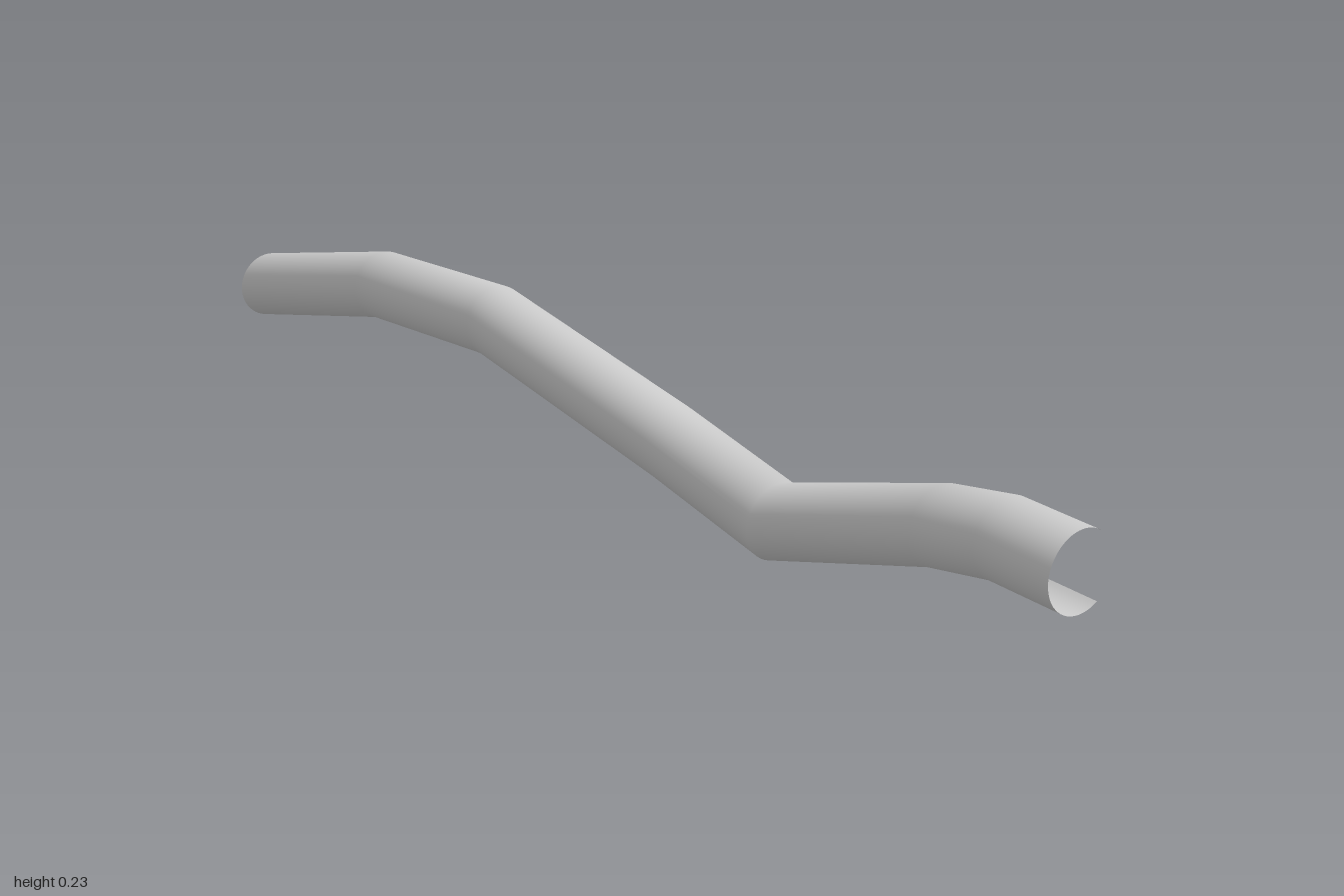
import * as THREE from 'three';

// centre line stations: [x, y, z]
const PATH = [
  [0.0145, 0.174, 1], [0.0145, 0.176, 0.87], [0.0075, 0.159, 0.76], [0.0075, 0.0595, 0.44],
  [0.0075, 0.106, 0.2], [0.0075, 0.178, -0.26], [0.0075, 0.156, -0.6], [0.0075, 0.0605, -1],
];
const RADIUS = 0.0575;
const LIP_ANGLE = 0.97; // half of the gap that opens towards +x
const SEGMENTS = 40;

// sweep an open arc along the stations, each section kept upright
function channelGeometry() {
  const positions = [], indices = [], row = SEGMENTS + 1;
  PATH.forEach(([x, y, z], i) => {
    for (let j = 0; j <= SEGMENTS; j++) {
      const a = LIP_ANGLE + (j / SEGMENTS) * (2 * Math.PI - 2 * LIP_ANGLE);
      positions.push(x + RADIUS * Math.cos(a), y + RADIUS * Math.sin(a), z);
      if (i > 0 && j < SEGMENTS) {
        const p = (i - 1) * row + j, q = p + row;
        indices.push(p, p + 1, q, p + 1, q + 1, q);
      }
    }
  });
  const geometry = new THREE.BufferGeometry();
  geometry.setAttribute('position', new THREE.Float32BufferAttribute(positions, 3));
  // winding faces outward: the arc runs counter-clockwise while z decreases
  geometry.setIndex(indices.reverse());
  geometry.computeVertexNormals();
  const p = geometry.attributes.position, n = geometry.attributes.normal;
  const mid = SEGMENTS / 2; // back of the arc must point to -x
  if (n.getX(mid) > 0) {
    geometry.setIndex(indices.reverse());
    geometry.computeVertexNormals();
  }
  p.needsUpdate = true;
  return geometry;
}

export function createModel() {
  const group = new THREE.Group();
  group.name = 'bentChannel';
  const material = new THREE.MeshStandardMaterial({ color: 0xcccccc, side: THREE.DoubleSide });
  const channel = new THREE.Mesh(channelGeometry(), material);
  channel.name = 'channelShell';
  group.add(channel);
  return group;
}
